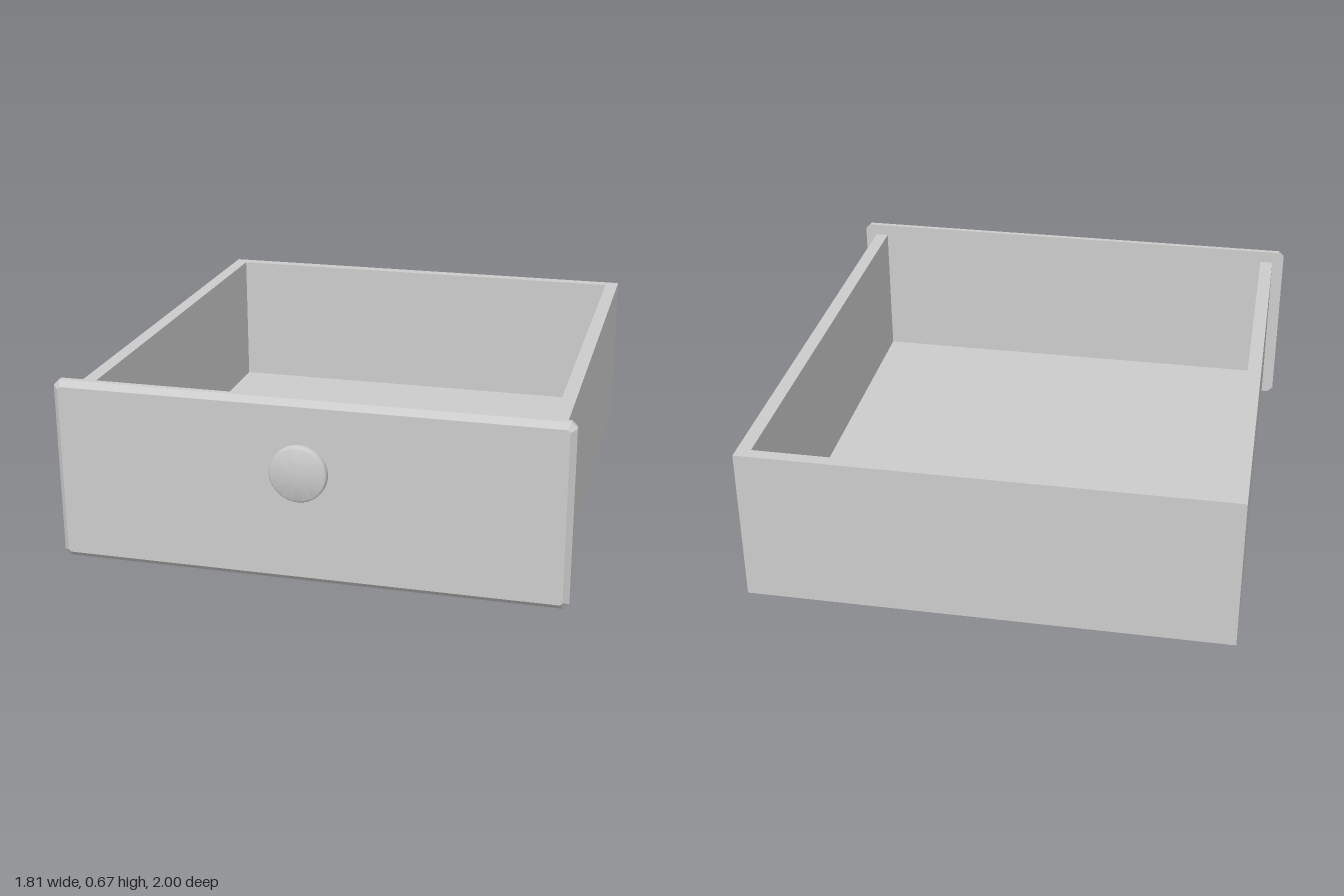
import * as THREE from 'three';
import { toCreasedNormals } from 'three/addons/utils/BufferGeometryUtils.js';

const material = new THREE.MeshStandardMaterial({ color: 0xcccccc });

function addMesh(group, name, geometry) {
  const mesh = new THREE.Mesh(geometry, material);
  mesh.name = name;
  group.add(mesh);
  return mesh;
}

const shapeFrom = (points) => new THREE.Shape(points.map(([x, y]) => new THREE.Vector2(x, y)));

// Slab with clipped corners whose front edge is chamfered all round
function panelGeometry(w, h, depth, cut) {
  const shape = shapeFrom([
    [-w + cut, -h], [w - cut, -h], [w, -h + cut], [w, h - cut],
    [w - cut, h], [-w + cut, h], [-w, h - cut], [-w, -h + cut],
  ]);
  const geometry = new THREE.ExtrudeGeometry(shape, { depth, steps: 2, bevelEnabled: false });
  const pos = geometry.attributes.position;
  const slide = cut * Math.tan(Math.PI / 8);
  const inset = (v, limit) => v - Math.sign(v) * (Math.abs(v) > limit - 1e-4 ? cut : slide);
  for (let i = 0; i < pos.count; i++) {
    if (pos.getZ(i) > depth - 1e-4) {
      pos.setXY(i, inset(pos.getX(i), w), inset(pos.getY(i), h));
    }
  }
  geometry.computeVertexNormals();
  return geometry;
}

export function createModel() {
  const model = new THREE.Group();
  model.name = 'drawer';

  const outer = 0.86, inner = 0.81, front = 0.865, back = -1, innerBack = -0.955;
  const bottom = 0.05, top = 0.62, floorTop = 0.095;

  // Side and back walls as one U-shaped piece, drawn in plan and raised
  const plan = shapeFrom([
    [-outer, -front], [-inner, -front], [-inner, -innerBack], [inner, -innerBack],
    [inner, -front], [outer, -front], [outer, -back], [-outer, -back],
  ]);
  const walls = addMesh(model, 'walls',
    new THREE.ExtrudeGeometry(plan, { depth: top - bottom, bevelEnabled: false }));
  walls.rotation.x = -Math.PI / 2;
  walls.position.y = bottom;

  // Floor between the walls
  const floor = addMesh(model, 'floor',
    new THREE.BoxGeometry(2 * inner, floorTop - bottom, front - innerBack));
  floor.position.set(0, (bottom + floorTop) / 2, (front + innerBack) / 2);

  // Overhanging front panel
  const panel = addMesh(model, 'frontPanel', panelGeometry(0.905, 0.3325, 0.04, 0.021));
  panel.position.set(0, 0.3325, front);

  // Turned knob: stem and rounded disc
  const profile = [
    [0, 0], [0.042, 0], [0.042, 0.057], [0.088, 0.057], [0.096, 0.061], [0.1, 0.069],
    [0.1, 0.084], [0.099, 0.089], [0.096, 0.093], [0.092, 0.095], [0, 0.095],
  ].map(([r, y]) => new THREE.Vector2(r, y));
  const knob = addMesh(model, 'knob',
    toCreasedNormals(new THREE.LatheGeometry(profile, 48), 0.7));
  knob.rotation.x = Math.PI / 2;
  knob.position.set(0, 0.44, 0.905);

  return model;
}
